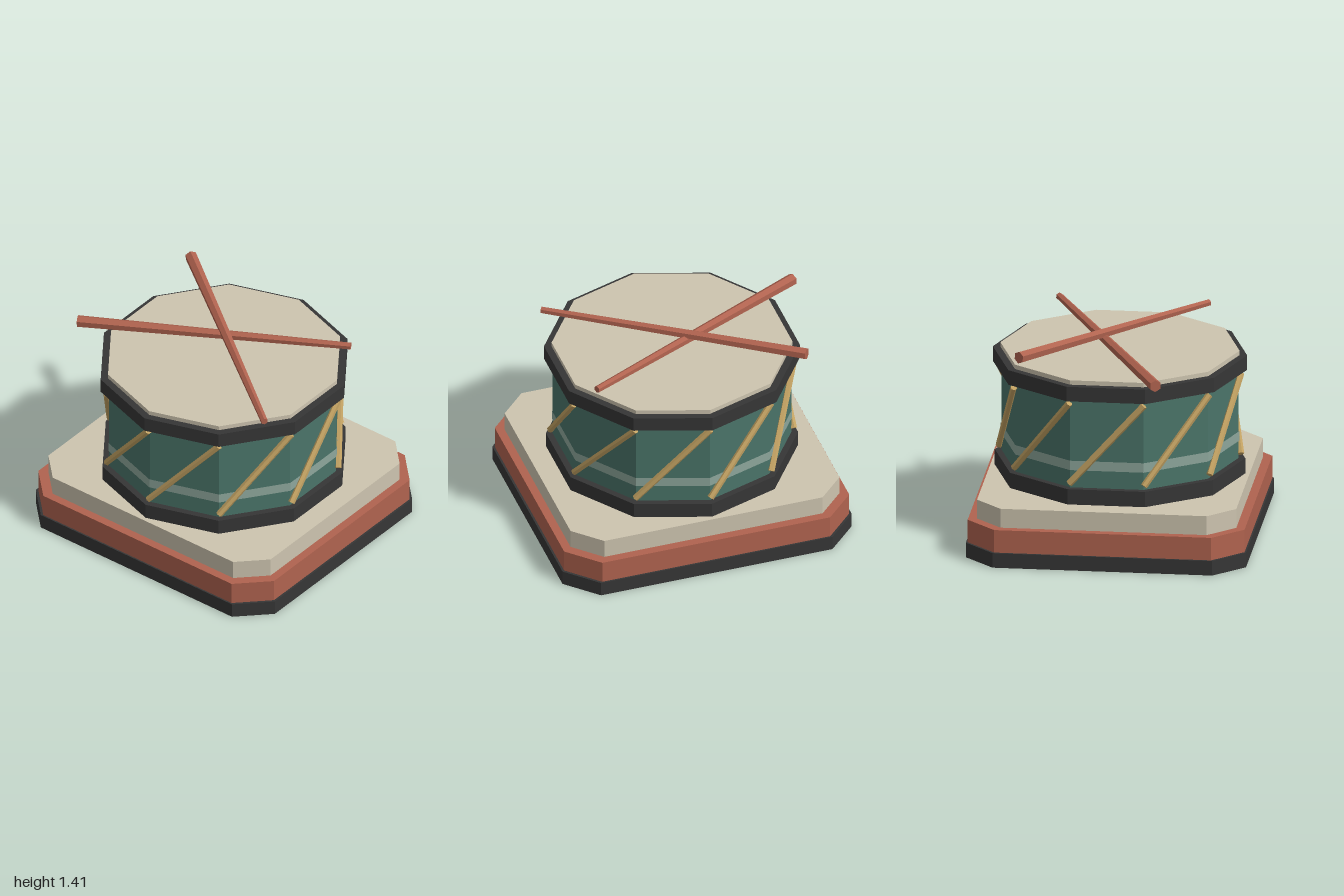
import * as THREE from 'three';

const mat = (name, color) => {
  const m = new THREE.MeshStandardMaterial({ color, flatShading: true });
  m.name = name;
  return m;
};

export function createModel() {
  const black = mat('charcoal', 0x363636);
  const red = mat('brick red', 0xb0634f);
  const cream = mat('cream', 0xcdc4af);
  const green = mat('drum green', 0x4a7469);
  const pale = mat('pale green', 0x8da69b);
  const gold = mat('rope gold', 0xc4a363);

  const model = new THREE.Group();
  model.name = 'drumOnPlinth';

  const add = (name, geometry, material, parent = model) => {
    const mesh = new THREE.Mesh(geometry, material);
    mesh.name = name;
    parent.add(mesh);
    return mesh;
  };

  // Rectangular slab with cut corners: half width, half depth, corner cut
  const slab = (name, w, d, cut, y0, y1, material) => {
    const shape = new THREE.Shape([
      [w, d - cut], [w - cut, d], [cut - w, d], [-w, d - cut],
      [-w, cut - d], [cut - w, -d], [w - cut, -d], [w, cut - d],
    ].map(([x, y]) => new THREE.Vector2(x, y)));
    const geo = new THREE.ExtrudeGeometry(shape, { depth: y1 - y0, bevelEnabled: false });
    geo.rotateX(-Math.PI / 2).translate(0, y0, 0);
    add(name, geo, material);
  };
  slab('plinthFoot', 1, 0.925, 0.2, 0, 0.1, black);
  slab('plinthMiddle', 0.986, 0.914, 0.198, 0.1, 0.255, red);
  slab('plinthTop', 0.93, 0.856, 0.175, 0.255, 0.385, cream);

  // Ten-sided drum parts, one corner facing the front
  const SIDES = 10;
  const ring = (name, r, y0, y1, material, open = false) => {
    const geo = new THREE.CylinderGeometry(r, r, y1 - y0, SIDES, 1, open);
    add(name, geo.translate(0, (y0 + y1) / 2, 0), material);
  };
  ring('lowerHoop', 0.827, 0.385, 0.49, black);
  ring('drumShell', 0.783, 0.49, 1.1, green);
  ring('shellStripe', 0.788, 0.61, 0.675, pale, true);
  ring('upperHoop', 0.84, 1.1, 1.2, black);
  ring('drumHead', 0.79, 1.2, 1.23, cream);

  // Six-sided rod between two points
  const rod = (name, a, b, rA, rB, material, parent) => {
    const dir = b.clone().sub(a);
    const mesh = add(name, new THREE.CylinderGeometry(rB, rA, dir.length(), 6), material, parent);
    mesh.position.copy(a).add(b).multiplyScalar(0.5);
    mesh.quaternion.setFromUnitVectors(new THREE.Vector3(0, 1, 0), dir.normalize());
  };

  // Slanted ropes, each running from one shell corner up to the next
  const ropes = new THREE.Group();
  ropes.name = 'tensionRopes';
  model.add(ropes);
  const corner = (i, y) => {
    const a = (i / SIDES) * Math.PI * 2;
    return new THREE.Vector3(Math.sin(a) * 0.798, y, Math.cos(a) * 0.798);
  };
  for (let i = 0; i < SIDES; i++) {
    rod('rope', corner(i, 0.52), corner(i + 1, 1.075), 0.023, 0.023, gold, ropes);
  }

  // Crossed tapering drumsticks
  const sticks = new THREE.Group();
  sticks.name = 'drumsticks';
  model.add(sticks);
  const v = (x, y, z) => new THREE.Vector3(x, y, z);
  rod('upperStick', v(-0.738, 1.369, -0.582), v(0.735, 1.313, 0.5), 0.041, 0.024, red, sticks);
  rod('lowerStick', v(-0.95, 1.276, 0.345), v(0.68, 1.34, -0.48), 0.041, 0.024, red, sticks);

  return model;
}
